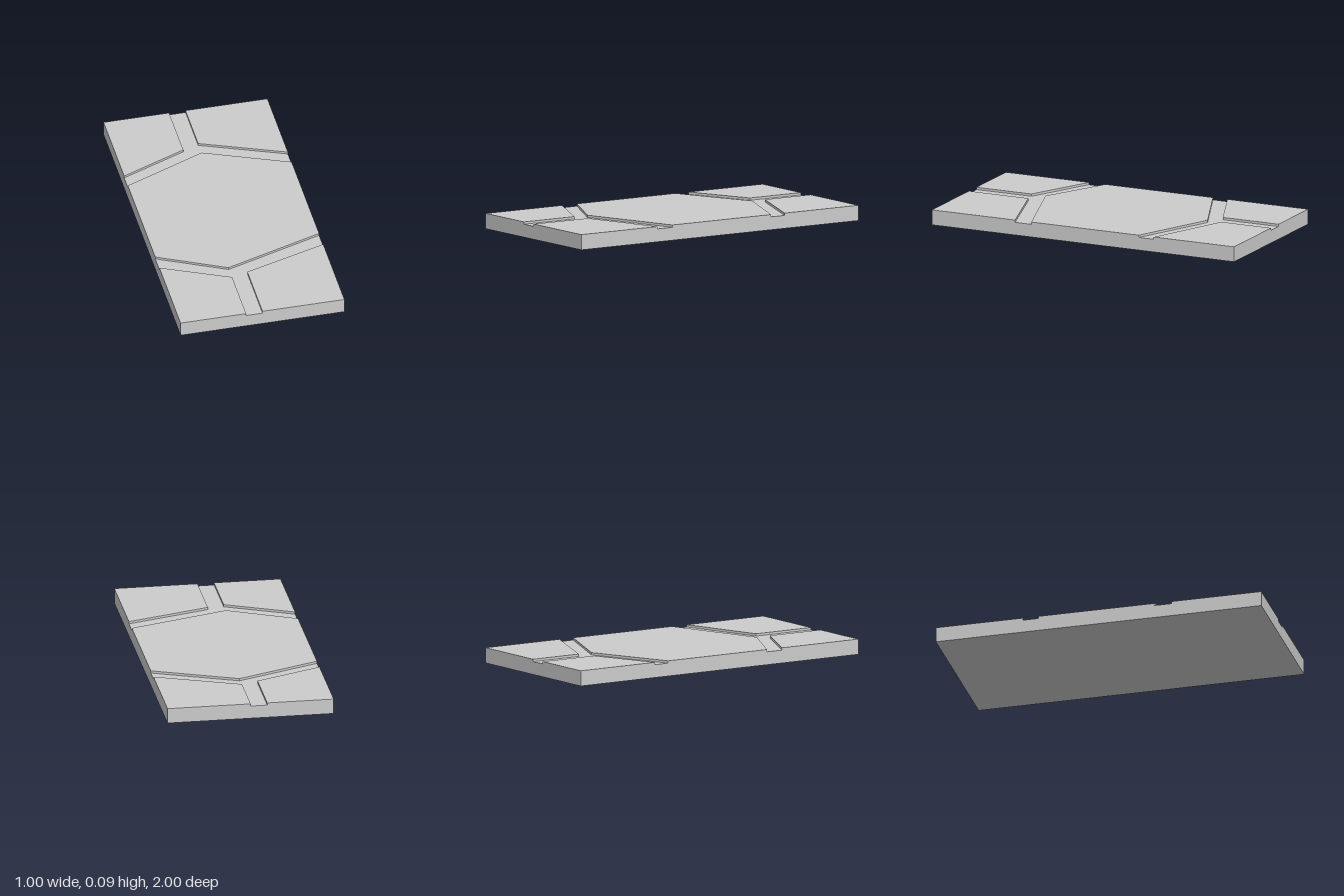
import * as THREE from 'three';

const HEIGHT = 0.092;       // top of the raised stones
const GROOVE = 0.078;       // floor of the joints

const material = new THREE.MeshStandardMaterial({ color: 0xcccccc, flatShading: true });

// Raised stone: outline given as [x, z] corners, standing on the joint floor
function makeStone(name, outline) {
  const shape = new THREE.Shape(outline.map(([x, z]) => new THREE.Vector2(x, -z)));
  const geometry = new THREE.ExtrudeGeometry(shape, { depth: HEIGHT - GROOVE, bevelEnabled: false });
  geometry.rotateX(-Math.PI / 2);
  geometry.translate(0, GROOVE, 0);
  const mesh = new THREE.Mesh(geometry, material);
  mesh.name = name;
  return mesh;
}

export function createModel() {
  const model = new THREE.Group();
  model.name = 'pavedFloorTile';

  // Slab whose top forms the floor of the joints
  const slab = new THREE.Mesh(new THREE.BoxGeometry(1, GROOVE, 2), material);
  slab.position.y = GROOVE / 2;
  slab.name = 'baseSlab';
  model.add(slab);

  // Stones separated by the Y-shaped joints
  const stones = {
    centreStone: [[-0.5, -0.37], [0, -0.58], [0.5, -0.37], [0.5, 0.342], [-0.1, 0.542], [-0.5, 0.342]],
    backRightStone: [[-0.5, -1], [-0.1, -1], [-0.1, -0.631], [-0.5, -0.465]],
    backLeftStone: [[0, -1], [0.5, -1], [0.5, -0.468], [0, -0.671]],
    frontRightStone: [[-0.5, 0.449], [-0.1, 0.636], [-0.1, 1], [-0.5, 1]],
    frontLeftStone: [[0, 0.606], [0.5, 0.449], [0.5, 1], [0, 1]],
  };
  for (const [name, outline] of Object.entries(stones)) model.add(makeStone(name, outline));

  return model;
}
